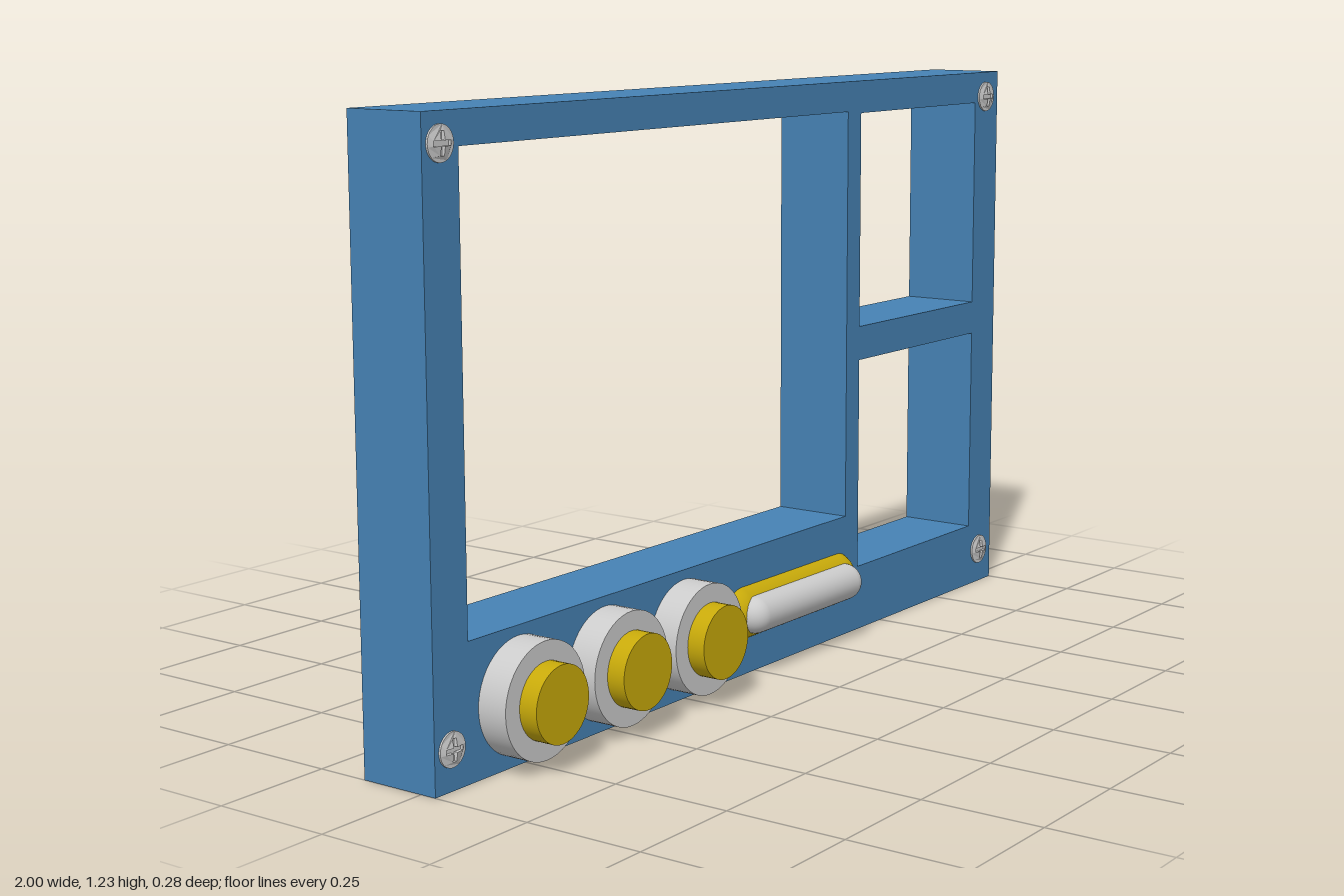
import * as THREE from 'three';

const blue = new THREE.MeshStandardMaterial({ color: 0x4682b4 });
const yellow = new THREE.MeshStandardMaterial({ color: 0xc8aa0a });
const grey = new THREE.MeshStandardMaterial({ color: 0xcccccc });

const FRONT = 0.035, BACK = -0.14;

function rect(path, x0, y0, x1, y1) {
  path.moveTo(x0, y0);
  path.lineTo(x1, y0);
  path.lineTo(x1, y1);
  path.lineTo(x0, y1);
  path.closePath();
  return path;
}

function mesh(name, geometry, material, x = 0, y = 0, z = 0) {
  const m = new THREE.Mesh(geometry, material);
  m.name = name;
  m.position.set(x, y, z);
  return m;
}

// Cylinder along z, from z0 to z1
function disc(name, r, x, y, z0, z1, material) {
  const g = new THREE.CylinderGeometry(r, r, z1 - z0, 48).rotateX(Math.PI / 2);
  return mesh(name, g, material, x, y, (z0 + z1) / 2);
}

// Horizontal capsule of full length `length`
function bar(name, r, length, x, y, z, material) {
  const g = new THREE.CapsuleGeometry(r, length - 2 * r, 12, 32).rotateZ(Math.PI / 2);
  return mesh(name, g, material, x, y, z);
}

// Slightly domed screw head with a cross-shaped slot
function screw(x, y) {
  const R = 0.034, a = 0.022, w = 0.005;
  const head = new THREE.Shape().absarc(0, 0, R, 0, Math.PI * 2);
  const cross = [[a, -w], [a, w], [w, w], [w, a], [-w, a], [-w, w],
    [-a, w], [-a, -w], [-w, -w], [-w, -a], [w, -a], [w, -w]];
  head.holes.push(new THREE.Path(cross.map(([px, py]) => new THREE.Vector2(px, py))));
  const g = new THREE.ExtrudeGeometry(head, { depth: 0.004, bevelEnabled: false, curveSegments: 20 });
  const p = g.attributes.position;
  for (let i = 0; i < p.count; i++) {
    if (p.getZ(i) > 0) {
      const r = Math.hypot(p.getX(i), p.getY(i)) / R;
      p.setZ(i, 0.004 + 0.007 * (1 - r * r));
    }
  }
  g.computeVertexNormals();
  const group = new THREE.Group();
  group.name = 'screw';
  group.add(mesh('screwHead', g, grey, x, y, FRONT));
  group.add(disc('slotFloor', 0.03, x, y, FRONT - 0.005, FRONT + 0.002, grey));
  return group;
}

export function createModel() {
  const model = new THREE.Group();
  model.name = 'controlPanel';

  // Frame with one large and two small windows
  const outline = rect(new THREE.Shape(), -1, 0, 1, 1.23);
  outline.holes.push(
    rect(new THREE.Path(), -0.905, 0.27, 0.35, 1.165),
    rect(new THREE.Path(), 0.402, 0.69, 0.897, 1.16),
    rect(new THREE.Path(), 0.402, 0.145, 0.897, 0.615),
  );
  const frame = new THREE.ExtrudeGeometry(outline, { depth: FRONT - BACK, bevelEnabled: false });
  model.add(mesh('frame', frame, blue, 0, 0, BACK));

  // Three push buttons
  for (const x of [-0.765, -0.507, -0.25]) {
    const button = new THREE.Group();
    button.name = 'button';
    button.add(disc('buttonCollar', 0.115, x, 0.135, FRONT - 0.01, 0.1, grey));
    button.add(disc('buttonCap', 0.076, x, 0.135, 0.09, 0.14, yellow));
    model.add(button);
  }

  // Rounded bar switch
  model.add(bar('switchBase', 0.061, 0.486, 0.134, 0.134, 0.013, yellow));
  model.add(bar('switchBar', 0.04, 0.42, 0.134, 0.134, 0.061, grey));

  // Corner screws
  for (const x of [-0.955, 0.943]) {
    for (const y of [0.08, 1.173]) model.add(screw(x, y));
  }

  return model;
}
